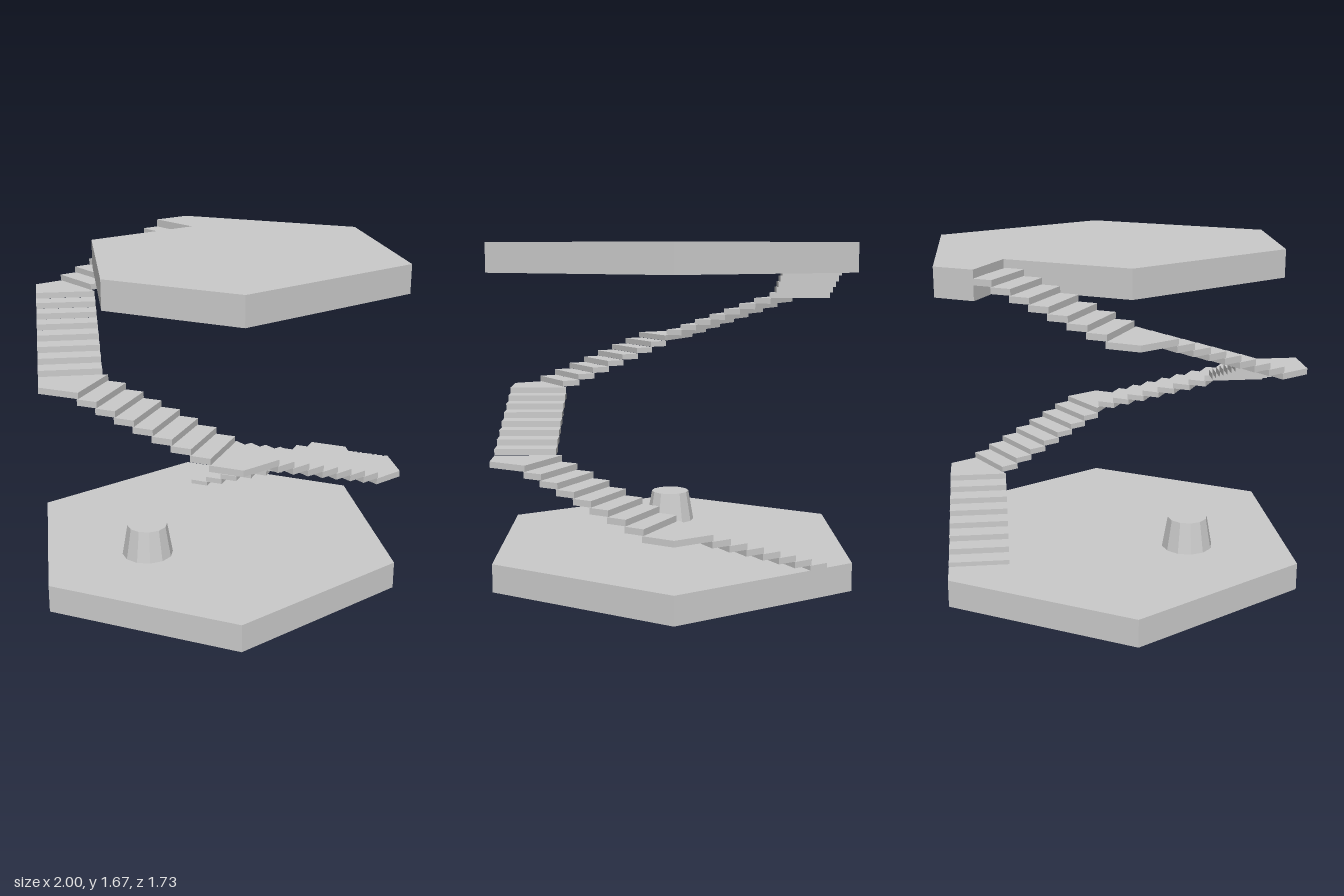
import * as THREE from 'three';

const APOTHEM = Math.sqrt(3) / 2; // hexagon with corner radius 1
const INNER = 0.565;              // inner side of the stair flights
const START = -0.347, TREAD = 0.0917, OVERLAP = 0.007;
const RISE = 0.0319, STEP_THICK = 0.03, FIRST_TOP = 0.163;

export function createModel() {
  const group = new THREE.Group();
  const material = new THREE.MeshStandardMaterial({ color: 0xcccccc, flatShading: true });

  function add(geometry, name, parent = group) {
    const mesh = new THREE.Mesh(geometry, material);
    mesh.name = name;
    parent.add(mesh);
    return mesh;
  }

  // Horizontal plate from an [x, z] outline, hanging down from its top height
  function plate(outline, top, thickness, name, parent) {
    const shape = new THREE.Shape(outline.map(([x, z]) => new THREE.Vector2(x, z)));
    const geometry = new THREE.ExtrudeGeometry(shape, { depth: thickness, bevelEnabled: false });
    geometry.rotateX(Math.PI / 2);
    geometry.translate(0, top, 0);
    return add(geometry, name, parent);
  }

  // Point on a hexagon side: distance from the axis, and distance along the climb
  function onSide(side, distance, along) {
    const a = THREE.MathUtils.degToRad(-30 + 60 * side);
    return [
      Math.cos(a) * distance - Math.sin(a) * along,
      Math.sin(a) * distance + Math.cos(a) * along,
    ];
  }

  // Lower floor: full hexagon
  const hexagon = [0, 1, 2, 3, 4, 5].map((i) => onSide(i, APOTHEM, 0.5));
  plate(hexagon, 0.14, 0.14, 'lowerFloor');

  // Upper floor: hexagon with the stairwell cut away
  plate([
    [0.5, -APOTHEM], [1, 0], [0.5, APOTHEM], [-0.5, APOTHEM],
    [-0.805, 0.25], [-0.335, -0.562], [0.312, -0.562], [0.295, -APOTHEM],
  ], 1.67, 0.14, 'upperFloor');

  // Staircase: one flight per side, seven treads and a mitred corner step
  const stairs = new THREE.Group();
  stairs.name = 'staircase';
  group.add(stairs);
  for (let side = 0; side < 6; side++) {
    for (let k = 0; k < 7; k++) {
      const from = START + k * TREAD, to = from + TREAD + OVERLAP;
      plate([
        onSide(side, INNER, from), onSide(side, APOTHEM, from),
        onSide(side, APOTHEM, to), onSide(side, INNER, to),
      ], FIRST_TOP + (side * 8 + k) * RISE, STEP_THICK, 'step', stairs);
    }
    if (side === 5) break; // the last flight ends in the upper floor
    const from = START + 7 * TREAD, to = START + OVERLAP;
    plate([
      onSide(side, INNER, from), onSide(side, APOTHEM, from), onSide(side, APOTHEM, 0.5),
      onSide(side + 1, APOTHEM, to), onSide(side + 1, INNER, to),
    ], FIRST_TOP + (side * 8 + 7) * RISE, STEP_THICK, 'cornerStep', stairs);
  }

  // Tapered pedestal on the lower floor
  const pedestal = add(new THREE.CylinderGeometry(0.102, 0.13, 0.16, 12), 'pedestal');
  pedestal.position.set(-0.412, 0.22, 0);

  return group;
}
